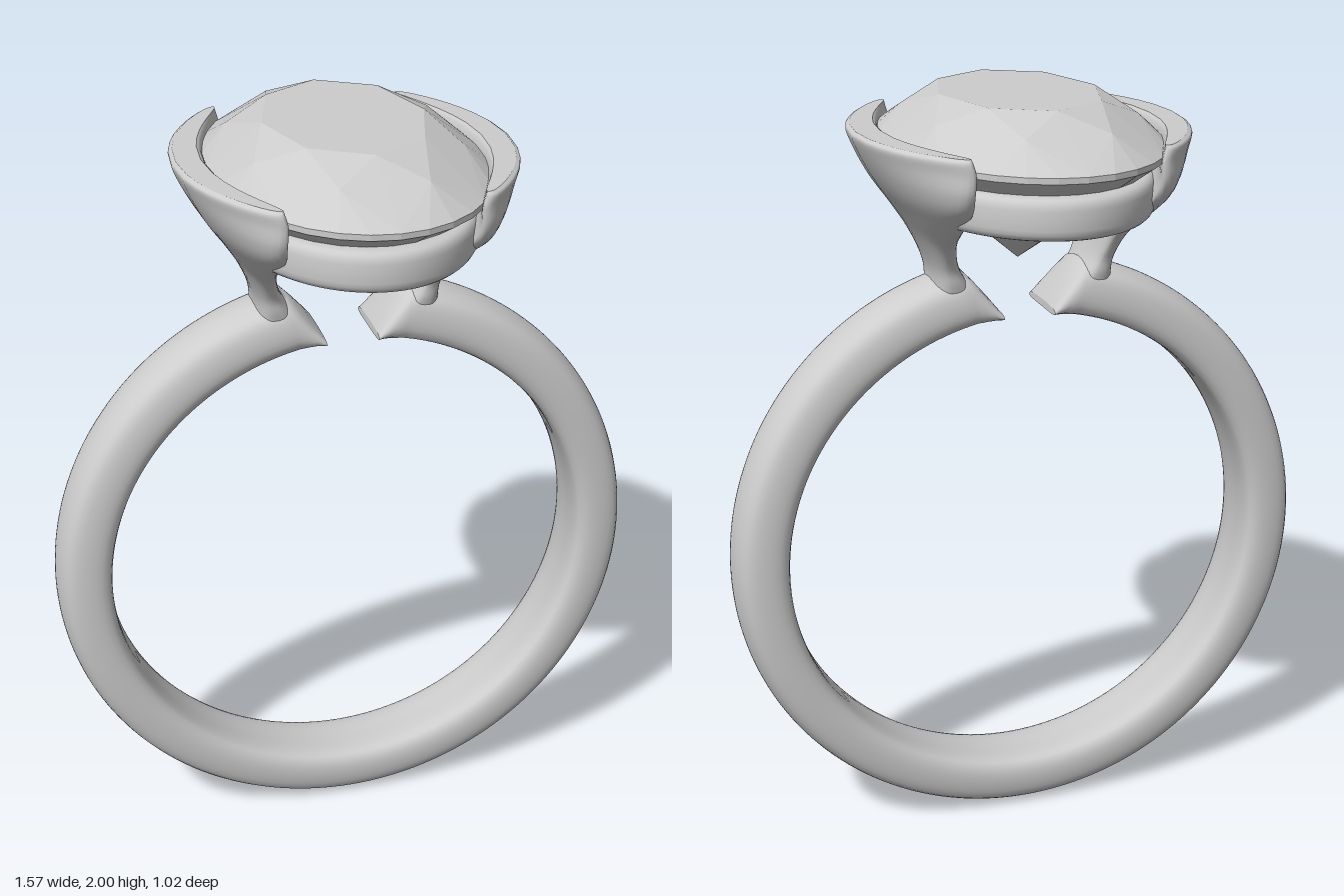
import * as THREE from 'three';

const TAU = Math.PI * 2;
const N = 40; // points around each lofted section
const spow = (v, e) => Math.sign(v) * Math.abs(v) ** e;

// Skin a list of equal-sized point loops; open lofts get flat caps.
function loft(rings, closed = false) {
  const n = rings[0].length, m = rings.length;
  const pos = rings.flat(2);
  let idx = [];
  for (let j = 0; j < (closed ? m : m - 1); j++) {
    for (let i = 0; i < n; i++) {
      const a = j * n + i, b = j * n + (i + 1) % n;
      const k = ((j + 1) % m) * n;
      const c = k + (i + 1) % n, d = k + i;
      idx.push(a, b, c, a, c, d);
    }
  }
  if (!closed) {
    [0, m - 1].forEach((r) => {
      const s = pos.length / 3;
      pos.push(...rings[r].flat());
      for (let i = 0; i < n / 2; i++) {
        const q = [s + i, s + i + 1, s + n - i - 1, s + (n - i) % n];
        const t = [q[0], q[1], q[2], q[0], q[2], q[3]];
        idx.push(...(r === 0 ? t.reverse() : t));
      }
    });
  }
  // Turn the faces outward if the enclosed volume is negative.
  let vol = 0;
  const p = (i) => new THREE.Vector3().fromArray(pos, i * 3);
  for (let i = 0; i < idx.length; i += 3) vol += p(idx[i]).dot(p(idx[i + 1]).cross(p(idx[i + 2])));
  if (vol < 0) idx = idx.reverse();
  const g = new THREE.BufferGeometry();
  g.setAttribute('position', new THREE.Float32BufferAttribute(pos, 3));
  g.setIndex(idx);
  g.computeVertexNormals();
  return g;
}

// Band: softly domed section swept round, thinning to a toe at the top gap.
function bandGeometry() {
  const half = [[0.645, 0], [0.646, 0.06], [0.653, 0.088], [0.675, 0.1], [0.725, 0.1],
    [0.762, 0.086], [0.78, 0.05], [0.787, 0]];
  const mirrored = half.slice(1, -1).reverse().map(([r, z]) => [r, -z]);
  const curve = new THREE.CatmullRomCurve3(
    [...half, ...mirrored].map(([r, z]) => new THREE.Vector3(r, 0, z)), true);
  const section = curve.getSpacedPoints(N).slice(0, N);
  const rings = [];
  for (let deg = 6; deg <= 354; deg += 2) {
    const a = THREE.MathUtils.degToRad(deg);
    const fromGap = Math.min(deg, 360 - deg) - 6;
    const t = Math.min(1, 0.13 + 0.87 * fromGap / 6);
    rings.push(section.map((s) => {
      const r = 0.645 + (s.x - 0.645) * t;
      return [r * Math.sin(a), 0.787 + r * Math.cos(a), s.z];
    }));
  }
  return loft(rings);
}

// Clamp: narrow stem flaring into a crescent wall.
function clampGeometry(side) {
  // y, inner x, outer x, half width, bend toward the ends
  const stations = [
    [1.48, 0.11, 0.25, 0.085, 0],
    [1.53, 0.15, 0.24, 0.097, 0],
    [1.58, 0.18, 0.247, 0.108, 0.004],
    [1.65, 0.205, 0.278, 0.16, 0.015],
    [1.72, 0.235, 0.322, 0.27, 0.04],
    [1.78, 0.27, 0.365, 0.36, 0.075],
    [1.83, 0.305, 0.395, 0.394, 0.105],
    [1.88, 0.335, 0.42, 0.4, 0.135],
    [1.91, 0.348, 0.43, 0.398, 0.14],
    [1.92, 0.358, 0.42, 0.388, 0.14],
  ];
  const spline = new THREE.CubicInterpolant(stations.map((_, i) => i), stations.flat(), 5);
  const rings = [];
  for (let k = 0; k <= 45; k++) {
    const [y, xi, xo, w, bend] = spline.evaluate(k / 5);
    rings.push(Array.from({ length: N }, (_, i) => {
      const a = i / N * TAU;
      const u = spow(Math.cos(a), 0.75);
      const x = (xi + xo) / 2 + (xo - xi) / 2 * spow(Math.sin(a), 0.75) - bend * u * u;
      return [side * x, y, w * u];
    }));
  }
  return loft(rings);
}

// Support rail: rounded bar following an oval.
function railGeometry() {
  const rings = [];
  for (let k = 0; k < 96; k++) {
    const a = k / 96 * TAU, c = Math.cos(a), s = Math.sin(a);
    const normal = new THREE.Vector2(c / 0.285, s / 0.442).normalize();
    rings.push(Array.from({ length: 24 }, (_, i) => {
      const b = i / 24 * TAU;
      const o = 0.04 * spow(Math.cos(b), 0.6);
      return [0.285 * c + normal.x * o, 1.777 + 0.053 * spow(Math.sin(b), 0.6), 0.442 * s + normal.y * o];
    }));
  }
  return loft(rings, true);
}

// Oval stone: table, star, kite and girdle facets above a pointed pavilion.
function stoneGeometry() {
  const at = (step, r, y) => {
    const a = step / 32 * TAU;
    return [0.355 * r * Math.cos(a), y, 0.51 * r * Math.sin(a)];
  };
  const pos = [];
  const tri = (a, b, c) => pos.push(...a, ...c, ...b);
  const top = [0, 2, 0], culet = [0, 1.567, 0];
  const rim = (i) => at(i, 1, 1.887), low = (i) => at(i, 1, 1.872);
  for (let k = 0; k < 32; k += 4) {
    const t0 = at(k, 0.58, 2), t1 = at(k + 4, 0.58, 2);
    const tip = at(k + 2, 0.8, 1.954), prev = at(k - 2, 0.8, 1.954);
    tri(top, t0, t1);
    tri(t0, tip, t1);
    tri(t0, prev, rim(k));
    tri(t0, rim(k), tip);
    for (let i = k; i < k + 4; i++) {
      tri(tip, rim(i), rim(i + 1));
      tri(rim(i), low(i), low(i + 1));
      tri(rim(i), low(i + 1), rim(i + 1));
      tri(low(i), culet, low(i + 1));
    }
  }
  const g = new THREE.BufferGeometry();
  g.setAttribute('position', new THREE.Float32BufferAttribute(pos, 3));
  g.computeVertexNormals();
  return g;
}

export function createModel() {
  const group = new THREE.Group();
  group.name = 'ring';
  const silver = new THREE.MeshStandardMaterial({ color: 0xcccccc });
  silver.name = 'silver';
  const add = (name, geometry) => {
    const mesh = new THREE.Mesh(geometry, silver);
    mesh.name = name;
    group.add(mesh);
  };
  add('band', bandGeometry());
  add('leftClamp', clampGeometry(1));
  add('rightClamp', clampGeometry(-1));
  add('supportRail', railGeometry());
  add('stone', stoneGeometry());
  return group;
}
